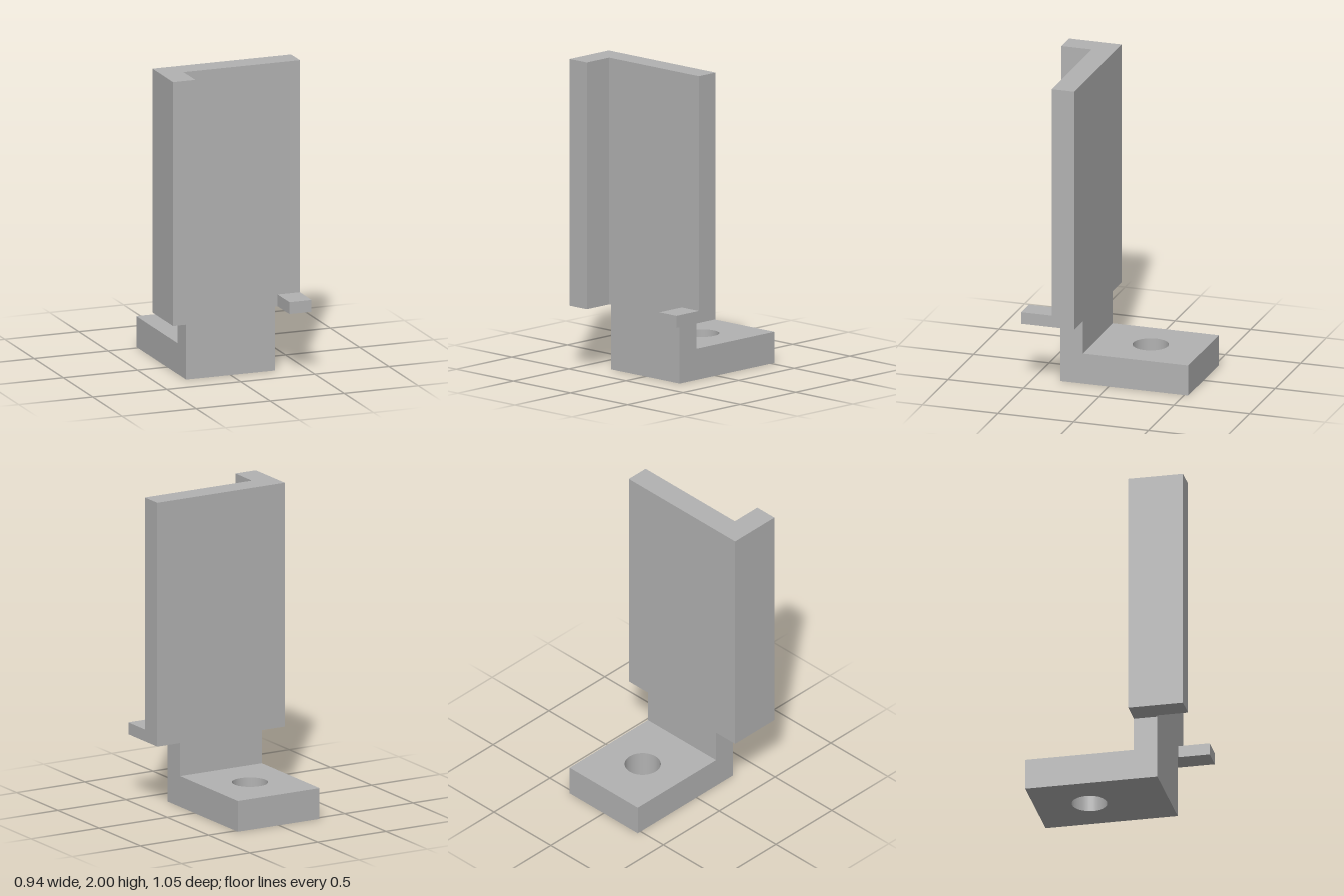
import * as THREE from 'three';

export function createModel() {
  const group = new THREE.Group();
  group.name = 'bracket';
  const grey = new THREE.MeshStandardMaterial({ color: 0xb2b2b2 });
  grey.name = 'plain grey';

  const W = 0.468, NECK = 0.3;          // half widths of plate and neck
  const BACK = 0.175, FRONT = 0.325;    // plate faces along z
  const END = 0.526, LOW = 0.415, TOP = 2;

  const add = (name, geometry) => {
    const mesh = new THREE.Mesh(geometry, grey);
    mesh.name = name;
    group.add(mesh);
    return mesh;
  };
  const outline = (points) => new THREE.Shape(points.map(([x, y]) => new THREE.Vector2(x, y)));
  const extrude = (shape, depth) =>
    new THREE.ExtrudeGeometry(shape, { depth, bevelEnabled: false, curveSegments: 48 });

  // Upright plate with its narrower neck
  const plate = outline([
    [-NECK, 0], [NECK, 0], [NECK, LOW], [W, LOW],
    [W, TOP], [-W, TOP], [-W, LOW], [-NECK, LOW],
  ]);
  add('uprightPlate', extrude(plate, FRONT - BACK)).position.z = BACK;

  // Foot with a round bolt hole, drawn in x and -z, then laid flat
  const foot = outline([[-NECK, -BACK], [NECK, -BACK], [NECK, END], [-NECK, END]]);
  const hole = new THREE.Path();
  hole.absarc(0, 0.177, 0.114, 0, Math.PI * 2, true);
  foot.holes.push(hole);
  add('foot', extrude(foot, 0.2).rotateX(-Math.PI / 2));

  // Forward arms: full-height flange on one side, short tab on the other
  const arm = (name, side, top) => {
    const width = 0.15, depth = END - FRONT, height = top - LOW;
    add(name, new THREE.BoxGeometry(width, height, depth))
      .position.set(side * (W - width / 2), LOW + height / 2, FRONT + depth / 2);
  };
  arm('sideFlange', -1, TOP);
  arm('supportTab', 1, 0.492);

  return group;
}
